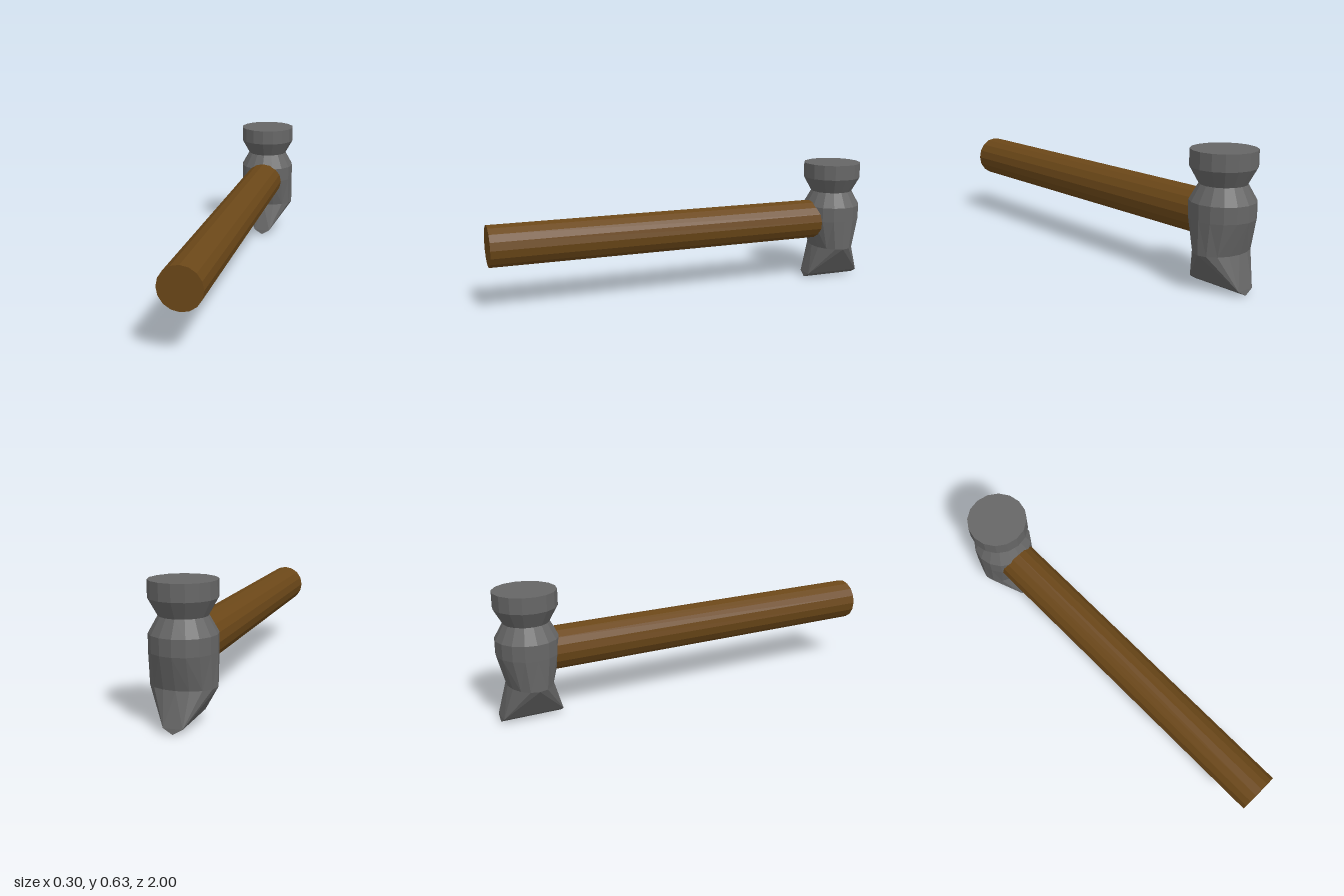
import * as THREE from 'three';

const SIDES = 16;
const HEAD_Z = -0.85;

// Elliptical cross-section of the head
function ring(y, rx, rz) {
  return Array.from({ length: SIDES }, (_, i) => {
    const a = (i / SIDES) * Math.PI * 2;
    return new THREE.Vector3(rx * Math.cos(a), y, rz * Math.sin(a));
  });
}

// Section squeezed to a narrow rectangle, for the wedge end
function wedge(y, x, z) {
  const sign = (v) => (Math.abs(v) < 1e-6 ? 0 : Math.sign(v));
  return ring(y, 1, 1).map((p) => new THREE.Vector3(sign(p.x) * x, y, sign(p.z) * z));
}

function headGeometry() {
  const rings = [
    ring(0.627, 0.15, 0.15), // striking face
    ring(0.55, 0.15, 0.15),
    ring(0.475, 0.108, 0.108), // neck
    ring(0.4, 0.15, 0.15),
    ring(0.325, 0.15, 0.15),
    ring(0.175, 0.15, 0.108),
    wedge(0.025, 0.043, 0.147),
    wedge(0, 0, 0.15), // ridge
  ];
  const points = [];
  const triangle = (a, b, c) => {
    const area = b.clone().sub(a).cross(c.clone().sub(a)).length();
    if (area > 1e-7) points.push(a, b, c);
  };
  const top = new THREE.Vector3(0, 0.627, 0);
  for (let i = 0; i < SIDES; i++) {
    const j = (i + 1) % SIDES;
    triangle(top, rings[0][j], rings[0][i]);
    for (let k = 0; k < rings.length - 1; k++) {
      const [a, b, c, d] = [rings[k][i], rings[k][j], rings[k + 1][j], rings[k + 1][i]];
      // Diagonals mirror so the wedge keeps flat cheeks
      if (i % 4 < 2) {
        triangle(a, b, c);
        triangle(a, c, d);
      } else {
        triangle(a, b, d);
        triangle(b, c, d);
      }
    }
  }
  const geometry = new THREE.BufferGeometry().setFromPoints(points);
  geometry.computeVertexNormals();
  return geometry;
}

export function createModel() {
  const group = new THREE.Group();
  group.name = 'hammer';

  const steel = new THREE.MeshStandardMaterial({ color: 0x666666, flatShading: true });
  const wood = new THREE.MeshStandardMaterial({ color: 0x6b4718, flatShading: true });

  // Head with round face and wedge peen
  const head = new THREE.Mesh(headGeometry(), steel);
  head.name = 'head';
  head.position.z = HEAD_Z;
  group.add(head);

  // Handle, running from inside the head to the front
  const length = 1 - HEAD_Z;
  const handle = new THREE.Mesh(new THREE.CylinderGeometry(0.103, 0.103, length, SIDES), wood);
  handle.name = 'handle';
  handle.rotation.x = Math.PI / 2;
  handle.position.set(0, 0.325, HEAD_Z + length / 2);
  group.add(handle);

  return group;
}
